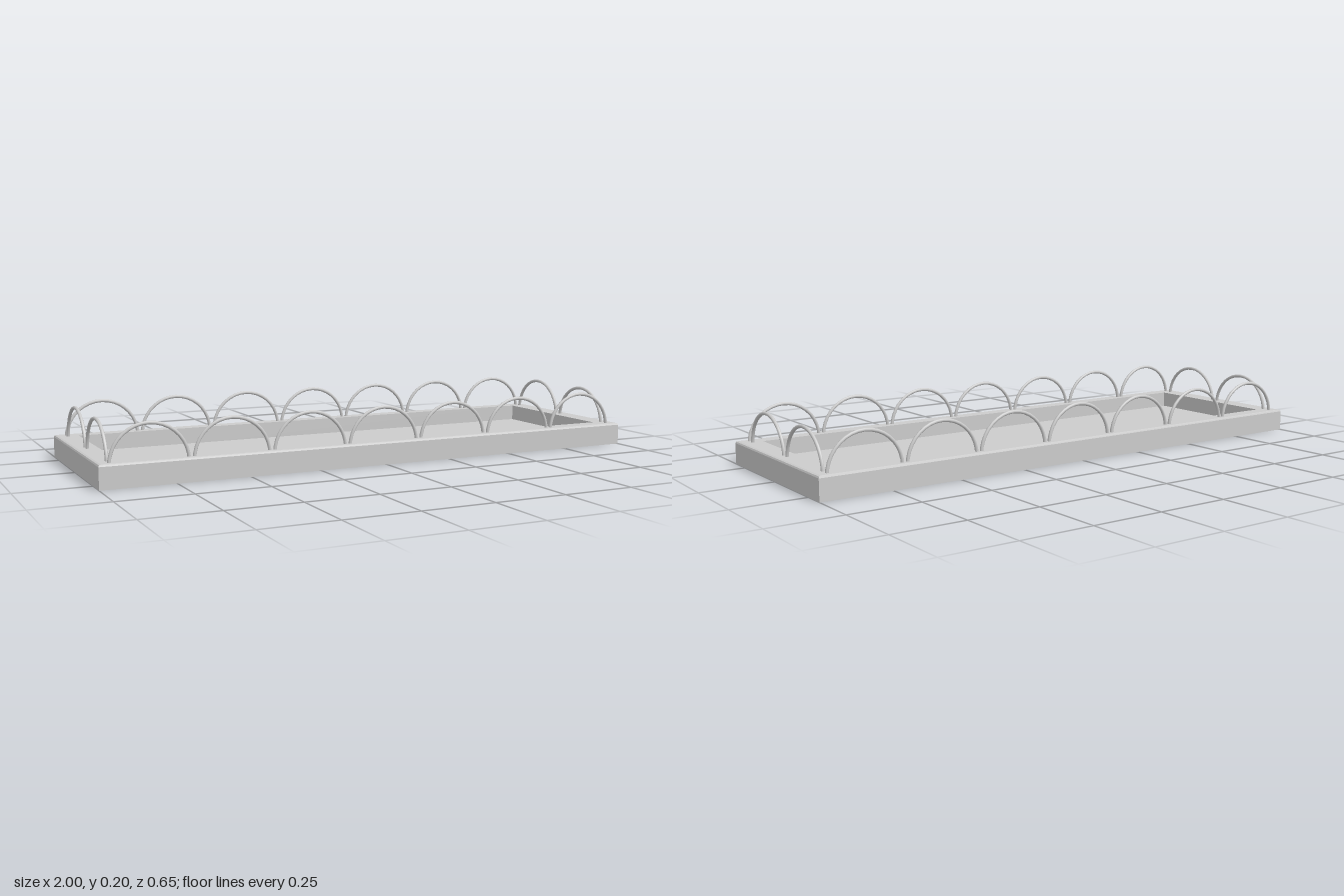
import * as THREE from 'three';

const HALF_X = 1, HALF_Z = 0.327;      // outer half sizes of the frame
const WALL_X = 0.077, WALL_Z = 0.057;  // wall thickness at the ends and along the sides
const HEIGHT = 0.08;

// Sweep a closed wall section [inset 0..1, y] around the rectangle with mitred corners
function mitredFrame(section) {
  const corners = [[1, 1], [1, -1], [-1, -1], [-1, 1]];
  const point = ([sx, sz], [inset, y]) => [
    sx * (HALF_X - inset * WALL_X), y, sz * (HALF_Z - inset * WALL_Z)];
  const positions = [];
  corners.forEach((corner, i) => {
    const next = corners[(i + 1) % 4];
    section.forEach((s, j) => {
      const t = section[(j + 1) % section.length];
      const a = point(corner, s), b = point(next, s), c = point(next, t), d = point(corner, t);
      positions.push(...a, ...b, ...c, ...a, ...c, ...d);
    });
  });
  const geometry = new THREE.BufferGeometry();
  geometry.setAttribute('position', new THREE.Float32BufferAttribute(positions, 3));
  geometry.computeVertexNormals();
  return geometry;
}

export function createModel() {
  const model = new THREE.Group();
  model.name = 'trayWithHoopEdging';
  const material = new THREE.MeshStandardMaterial({ color: 0xcccccc });
  const hoopMaterial = new THREE.MeshStandardMaterial({ color: 0xcccccc, side: THREE.DoubleSide });

  const add = (name, geometry, mat, x, y, z) => {
    const mesh = new THREE.Mesh(geometry, mat);
    mesh.name = name;
    mesh.position.set(x, y, z);
    model.add(mesh);
    return mesh;
  };

  // Rectangular frame with a softened outer top edge
  const section = [
    [0, 0], [0, HEIGHT - 0.007], [0.035, HEIGHT - 0.002], [0.12, HEIGHT],
    [1, HEIGHT], [1, 0],
  ];
  add('frame', mitredFrame(section), material, 0, 0, 0);

  // Thin floor panel set inside the frame
  const floor = new THREE.BoxGeometry(2 * (HALF_X - WALL_X) + 0.01, 0.004, 2 * (HALF_Z - WALL_Z) + 0.01);
  add('floorPanel', floor, material, 0, 0.02, 0);

  // Wire hoops whose feet sink into the frame
  const hoop = new THREE.TorusGeometry(0.13, 0.006, 8, 18, Math.PI);
  const hoopY = 0.067;
  for (const side of [1, -1]) {
    for (let i = -3; i <= 3; i++) {
      add(side > 0 ? 'frontHoop' : 'backHoop', hoop, hoopMaterial, i * 0.277, hoopY, side * 0.3);
    }
    for (const end of [1, -1]) {
      add(side > 0 ? 'leftHoop' : 'rightHoop', hoop, hoopMaterial, side * 0.96, hoopY, end * 0.142)
        .rotation.y = Math.PI / 2;
    }
  }
  return model;
}
